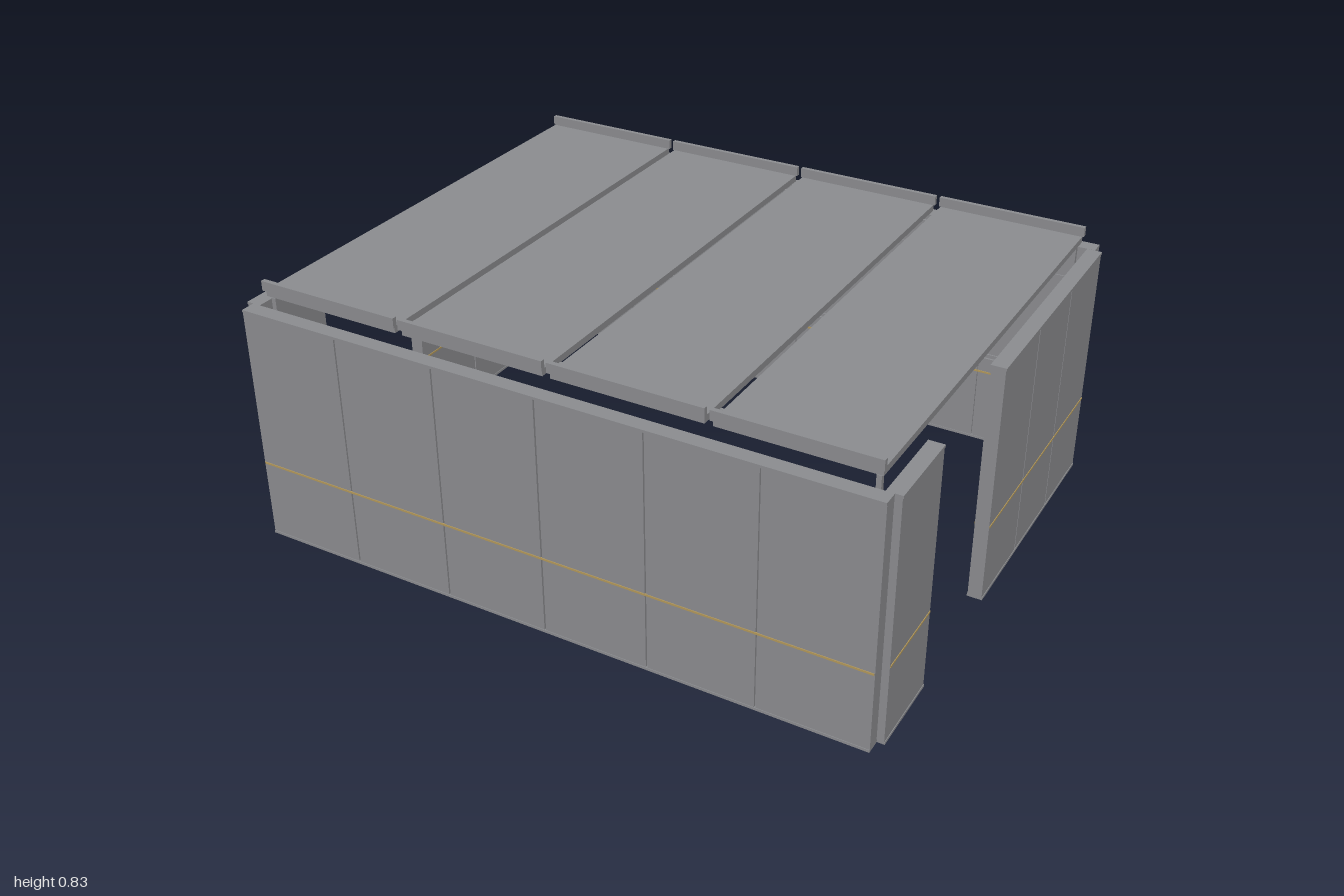
import * as THREE from 'three';

const mat = (name, color) => {
  const m = new THREE.MeshStandardMaterial({ color });
  m.name = name;
  return m;
};

export function createModel() {
  const grey = mat('panel grey', 0x8d8e91);
  const gold = mat('trim ochre', 0xb59a5c);
  const model = new THREE.Group();
  model.name = 'panelBooth';

  const H = 0.755, T = 0.046, RAIL = 0.008;

  // box given by its minimum and maximum corners
  function box(parent, name, m, x0, x1, y0, y1, z0, z1) {
    const mesh = new THREE.Mesh(new THREE.BoxGeometry(x1 - x0, y1 - y0, z1 - z0), m);
    mesh.position.set((x0 + x1) / 2, (y0 + y1) / 2, (z0 + z1) / 2);
    mesh.name = name;
    parent.add(mesh);
  }

  // wall of equal boards along local x, outer face towards local +z
  function wall(name, length, count, hatch) {
    const g = new THREE.Group();
    g.name = name;
    const a = length / 2, t = T / 2, skin = t - 0.002, core = t - 0.009;
    const boardTop = hatch ? 0.3 : H - RAIL;

    // recessed core shows as a groove between the boards
    box(g, 'core', grey, -a + 0.003, a - 0.003, RAIL, H - RAIL, -core, core);
    const w = length / count;
    for (let i = 0; i < count; i++) {
      const x0 = -a + i * w + (i > 0 ? 0.0025 : 0);
      const x1 = -a + (i + 1) * w - (i < count - 1 ? 0.0025 : 0);
      box(g, 'board', grey, x0, x1, RAIL, boardTop, -skin, skin);
    }

    if (hatch) {
      box(g, 'upperPanel', grey, -a, a, 0.65, H - RAIL, -skin, skin);
      // slim frame round the recessed hatch panel
      const b = a - 0.006;
      for (const y of [0.309, 0.641]) {
        box(g, 'hatchFrameBar', grey, -b, b, y - 0.006, y + 0.006, -skin + 0.002, skin - 0.002);
      }
      for (const x of [-b + 0.006, b - 0.006]) {
        box(g, 'hatchFrameSide', grey, x - 0.006, x + 0.006, 0.315, 0.635, -skin + 0.002, skin - 0.002);
      }
    }

    // floor and head rails
    box(g, 'floorRail', grey, -a, a, 0, RAIL, -t, t);
    box(g, 'headRail', grey, -a, a, H - RAIL, H, -t, t);

    // trim line on both faces
    for (const f of [-1, 1]) {
      const z = f * skin;
      box(g, 'trimLine', gold, -a + 0.002, a - 0.002, 0.247, 0.253, z - 0.002, z + 0.002);
    }
    model.add(g);
    return g;
  }

  // front and back walls
  const front = wall('frontWall', 1.956, 6, false);
  front.position.z = 0.777;
  const back = wall('backWall', 1.956, 6, true);
  back.position.z = -0.777;
  back.rotation.y = Math.PI;

  // side walls, each with a doorway between a long and a short piece
  for (const s of [-1, 1]) {
    const side = s > 0 ? 'left' : 'right';
    const long = wall(side + 'LongWall', 0.82, 3, false);
    long.position.set(s * 0.977, 0, -0.343);
    long.rotation.y = s * Math.PI / 2;
    const short = wall(side + 'ShortWall', 0.258, 1, false);
    short.position.set(s * 0.977, 0, 0.625);
    short.rotation.y = s * Math.PI / 2;

    // corner pegs rising above the wall tops
    for (const z of [-0.72, 0.72]) {
      const x = s * 0.925;
      box(model, 'cornerPeg', grey, x - 0.007, x + 0.007, 0.7, 0.773, z - 0.007, z + 0.007);
    }
  }

  // four floating roof slabs with upturned ends
  for (let i = 0; i < 4; i++) {
    const slab = new THREE.Group();
    slab.name = 'roofSlab';
    slab.position.x = (i - 1.5) * 0.476;
    box(slab, 'slab', grey, -0.226, 0.226, 0.78, 0.8, -0.735, 0.735);
    for (const z of [-0.738, 0.738]) {
      box(slab, 'endLip', grey, -0.231, 0.231, 0.8, 0.83, z - 0.007, z + 0.007);
    }
    model.add(slab);
  }

  // rods tying neighbouring slabs together
  for (const x of [-0.476, 0, 0.476]) {
    for (const z of [-0.655, 0.655]) {
      box(model, 'tieRod', grey, x - 0.014, x + 0.014, 0.776, 0.782, z - 0.004, z + 0.004);
    }
  }
  return model;
}
